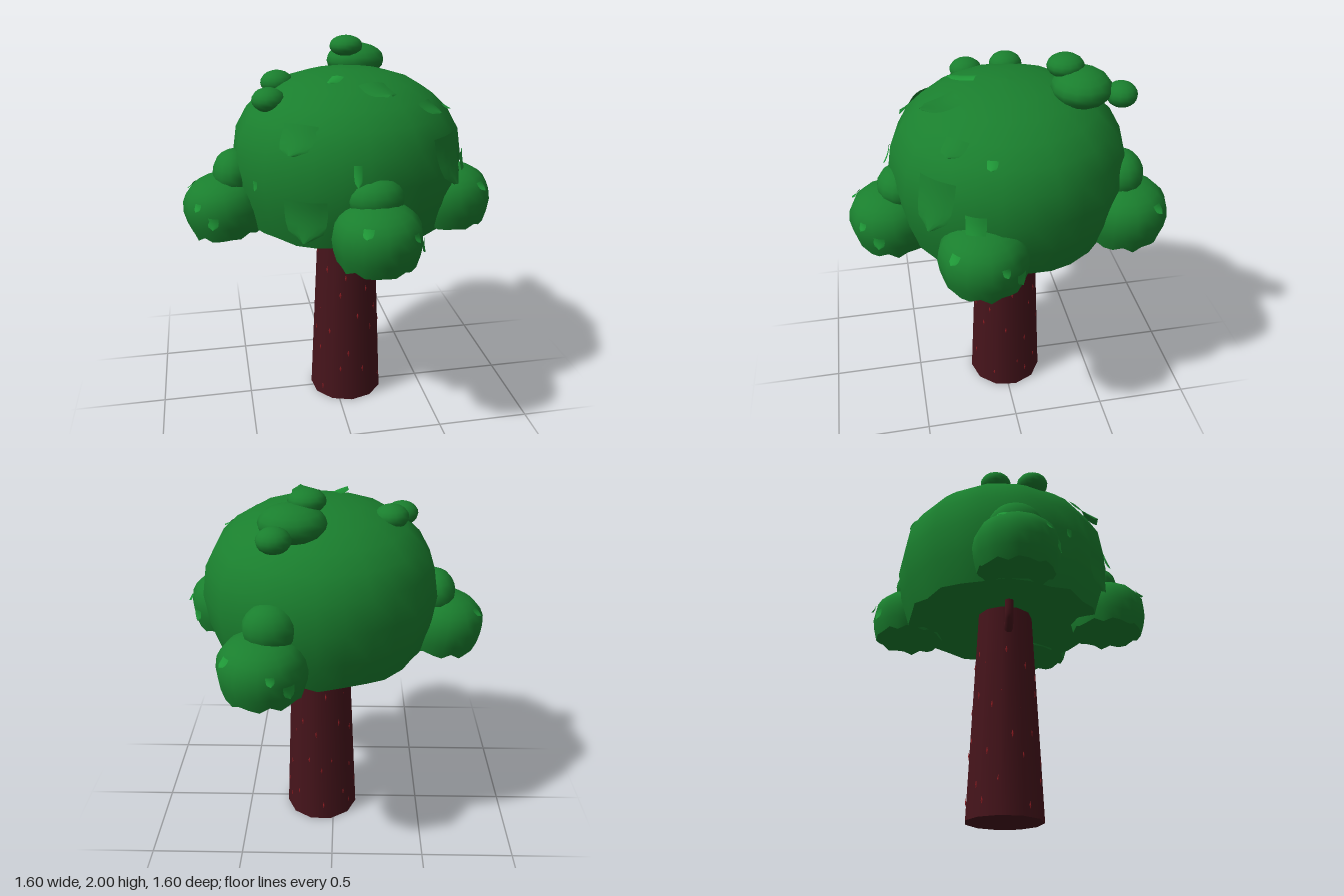
import * as THREE from 'three';

const green = new THREE.MeshStandardMaterial({ color: 0x1a7f2e, side: THREE.DoubleSide });
const brightGreen = new THREE.MeshStandardMaterial({ color: 0x1e9636, side: THREE.DoubleSide });
const bark = new THREE.MeshStandardMaterial({ color: 0x46141b });
const fleckRed = new THREE.MeshStandardMaterial({ color: 0x8c1c22 });

// Canopy profile: [radius, height], both as fractions
const DOME = [[0.88, 0], [0.96, 0.18], [1, 0.4], [0.96, 0.6], [0.86, 0.74],
  [0.73, 0.84], [0.56, 0.92], [0.36, 0.97], [0.16, 0.995], [0, 1]];
const UNDER = [[0, 0.05], [0.3, 0.04], [0.6, 0.03], [0.88, 0]];
const CENTER = new THREE.Vector3(0.065, 1.11, -0.025);
const RADIUS = 0.605, HEIGHT = 0.765;

function add(parent, name, geometry, material, x = 0, y = 0, z = 0) {
  const mesh = new THREE.Mesh(geometry, material);
  mesh.name = name;
  mesh.position.set(x, y, z);
  parent.add(mesh);
  return mesh;
}

// Lathe with polygonal outline and a ragged lower hem
function raggedLathe(profile, sides, jag) {
  const geo = new THREE.LatheGeometry(profile.map(([r, y]) => new THREE.Vector2(r, y)), sides * 2);
  const p = geo.attributes.position, n = profile.length;
  for (let i = 0; i < p.count; i++) {
    const column = Math.floor(i / n) % (sides * 2);
    const k = column % 2 ? Math.cos(Math.PI / sides) : 1;
    const [r, h] = profile[i % n];
    const drop = h === 0 && r > 0.5 ? jag * (0.5 + 0.5 * Math.sin(column * 2.3)) : 0;
    p.setXYZ(i, p.getX(i) * k, p.getY(i) - drop, p.getZ(i) * k);
  }
  return geo;
}

// Leafy dome with its own underside
function leafDome(name, x, y, z, radius, height, sides, jag) {
  const group = new THREE.Group();
  group.name = name;
  add(group, name + 'Top', raggedLathe(DOME, sides, jag), green);
  add(group, name + 'Underside', raggedLathe(UNDER, sides, jag), green);
  group.position.set(x, y, z);
  group.scale.set(radius, height, radius);
  return group;
}

// Radius fraction of the dome at a height fraction
function radiusAt(h) {
  for (let i = 1; i < DOME.length; i++) {
    const [r0, h0] = DOME[i - 1], [r1, h1] = DOME[i];
    if (h <= h1) return r0 + (r1 - r0) * (h - h0) / (h1 - h0);
  }
  return 0;
}

// Tongue-shaped leaf whose lower tip lifts off the surface
function leafGeometry(w, l, lift) {
  const geo = new THREE.PlaneGeometry(w, l, 6, 5);
  const p = geo.attributes.position;
  for (let i = 0; i < p.count; i++) {
    const t = 0.5 - p.getY(i) / l;
    const u = p.getX(i) / (w / 2);
    const taper = Math.sqrt(Math.max(0, 1 - Math.pow(t, 4))) * 0.85 + 0.15;
    p.setXYZ(i, p.getX(i) * taper, p.getY(i), lift * t * t - 0.08 * w * u * u + 0.004);
  }
  geo.computeVertexNormals();
  return geo;
}

// Leaf on a dome: angle about y, height fraction, width, length, lift
function placeLeaf(parent, c, radius, height, angle, h, w, l, lift, material) {
  const r = radiusAt(h) * radius;
  const slope = (radiusAt(h - 0.04) - radiusAt(h + 0.04)) * radius / (0.08 * height);
  const leaf = add(parent, 'leaf', leafGeometry(w, l, lift), material,
    c.x + r * Math.sin(angle), c.y + h * height, c.z + r * Math.cos(angle));
  const normal = new THREE.Vector3(Math.sin(angle), slope, Math.cos(angle));
  leaf.lookAt(leaf.position.clone().add(normal));
}

export function createModel() {
  const model = new THREE.Group();
  model.name = 'tree';

  // Trunk
  const tx = 0.07, tz = -0.015, trunkTop = 1.16, r0 = 0.205, r1 = 0.152;
  add(model, 'trunk', new THREE.CylinderGeometry(r1, r0, trunkTop, 11), bark, tx, trunkTop / 2, tz);

  // Small bark flecks in staggered rows
  const fleckGeo = new THREE.OctahedronGeometry(1);
  fleckGeo.scale(0.006, 0.022, 0.004);
  for (let row = 0; row < 8; row++) {
    for (let i = 0; i < 6; i++) {
      const a = (i + (row % 2) * 0.5) * Math.PI / 3 + Math.sin(row * 5 + i * 3) * 0.2;
      const y = 0.07 + row * 0.12 + Math.sin(row * 3 + i * 7) * 0.03;
      const r = (r0 + (r1 - r0) * y / trunkTop) * 0.98;
      const fleck = add(model, 'barkFleck', fleckGeo, fleckRed, tx + r * Math.sin(a), y, tz + r * Math.cos(a));
      fleck.rotation.y = a;
    }
  }

  // Curved side branches running up into the canopy
  const branches = [
    [[-0.05, 1.01, 0], [-0.11, 1.01, 0], [-0.15, 1.05, 0], [-0.16, 1.15, 0]],
    [[0.2, 1.04, 0.01], [0.27, 1.06, 0.01], [0.31, 1.1, 0.01], [0.32, 1.16, 0.01]],
  ];
  for (const points of branches) {
    const curve = new THREE.CatmullRomCurve3(points.map(p => new THREE.Vector3(...p)));
    add(model, 'branch', new THREE.TubeGeometry(curve, 10, 0.024, 7), bark);
  }

  // Main canopy
  model.add(leafDome('canopy', CENTER.x, CENTER.y, CENTER.z, RADIUS, HEIGHT, 14, 0.03));

  // Side clumps: x, y, z, height, outward tilt
  const clumps = [
    [-0.57, 1.085, 0.02, 0.28, 0.12],
    [0.57, 1.125, 0.18, 0.28, 0],
    [0.1, 1.085, 0.57, 0.28, 0.05],
    [0.32, 1.125, -0.575, 0.28, 0],
  ];
  for (const [x, y, z, h, tilt] of clumps) {
    const clump = leafDome('sideClump', x, y, z, 0.22, h, 12, 0.09);
    const out = new THREE.Vector3(x - CENTER.x, 0, z - CENTER.z).normalize();
    clump.quaternion.setFromAxisAngle(new THREE.Vector3(out.z, 0, -out.x), tilt);
    model.add(clump);
    const a = Math.atan2(out.x, out.z);
    for (const [da, hh, s] of [[-0.5, 0.7, 0.05], [0.7, 0.55, 0.04], [1.1, 0.3, 0.06]])
      placeLeaf(model, clump.position, 0.22, h, a + da, hh, s, s, 0.015, brightGreen);
  }

  // Round tufts: x, y, z, then the three radii
  const tufts = [
    [-0.53, 1.37, 0.02, 0.11, 0.12, 0.14],
    [0.1, 1.37, 0.52, 0.14, 0.105, 0.12],
    [0.28, 1.43, -0.555, 0.13, 0.12, 0.11],
    [0.18, 1.86, -0.355, 0.16, 0.09, 0.145],
    [0.115, 1.945, -0.29, 0.09, 0.055, 0.09],
    [0.25, 1.84, -0.53, 0.08, 0.06, 0.075],
    [-0.285, 1.805, -0.08, 0.085, 0.06, 0.085],
    [-0.35, 1.76, 0.12, 0.083, 0.06, 0.085],
  ];
  for (const [x, y, z, rx, ry, rz] of tufts)
    add(model, 'tuft', new THREE.SphereGeometry(1, 14, 10), green, x, y, z).scale.set(rx, ry, rz);

  // Loose leaves on the canopy: angle, height fraction, width, length, lift
  const leaves = [
    [0.8, 0.5, 0.2, 0.24, 0.04], [-0.52, 0.2, 0.22, 0.2, 0.05],
    [-0.62, 0.68, 0.18, 0.16, 0.04], [0.28, 0.915, 0.14, 0.18, 0.05],
    [0.85, 0.8, 0.12, 0.1, 0.03], [-0.1, 0.5, 0.04, 0.1, 0.02],
    [-0.45, 0.965, 0.06, 0.14, 0.02], [-1, 0.36, 0.03, 0.05, 0.01],
    [1.25, 0.76, 0.05, 0.05, 0.015], [1.15, 0.4, 0.1, 0.14, 0.03],
  ];
  for (const leaf of leaves)
    placeLeaf(model, CENTER, RADIUS, HEIGHT, ...leaf, leaf[2] > 0.1 ? green : brightGreen);

  return model;
}
